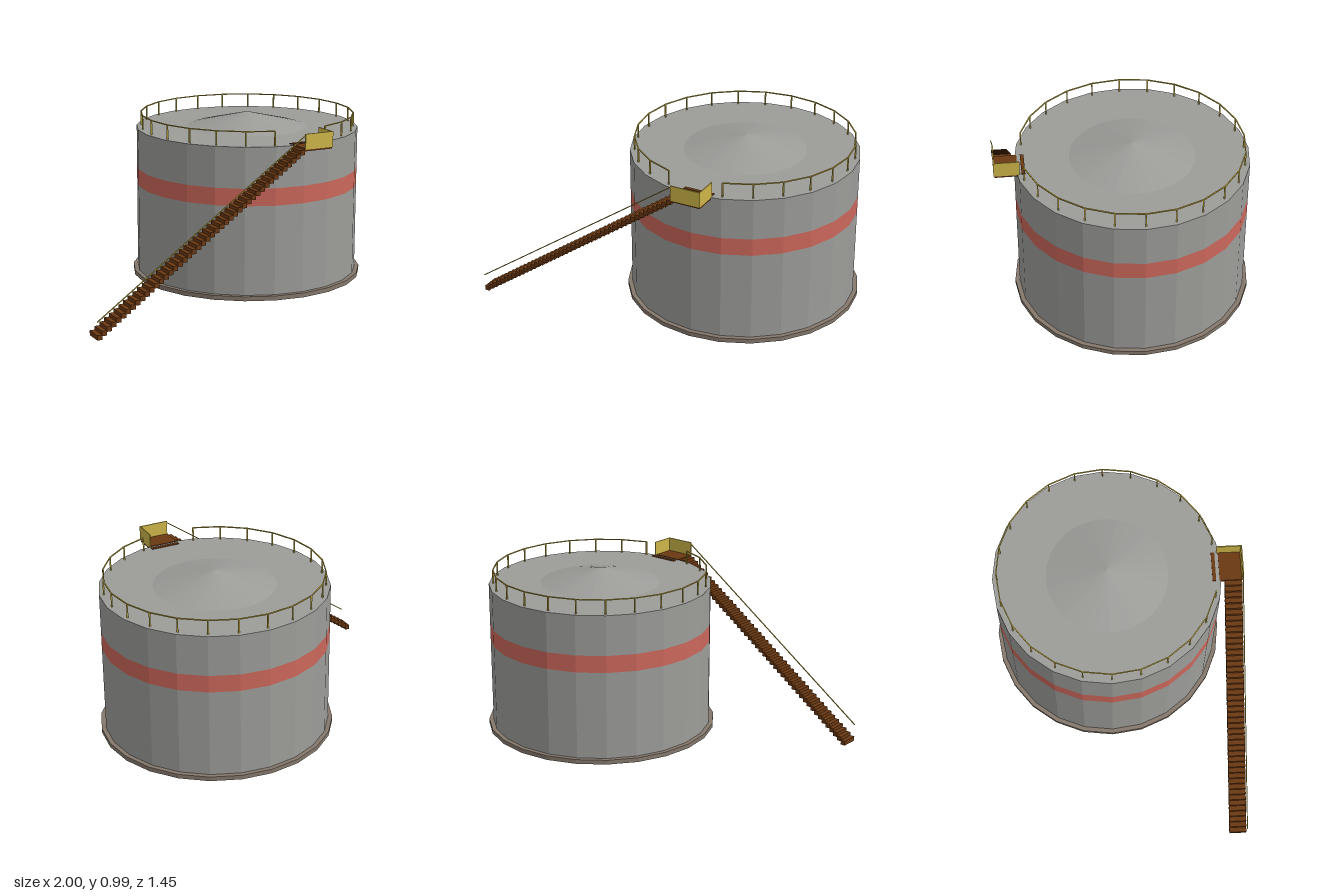
import * as THREE from 'three';

const CX = 0.32, CZ = -0.045, SIDES = 24, R = 0.654;

export function createModel() {
  const model = new THREE.Group();
  model.name = 'storageTank';

  const mat = (name, color, double = false) => {
    const m = new THREE.MeshStandardMaterial({ color, flatShading: true });
    m.name = name;
    if (double) m.side = THREE.DoubleSide;
    return m;
  };
  const grey = mat('tankGrey', 0x9c9c99, true);
  const red = mat('bandRed', 0xcb675b, true);
  const stone = mat('baseBrownGrey', 0x85786c, true);
  const yellow = mat('railYellow', 0xcdb548, true);
  const brown = mat('stairBrown', 0x6a3812);

  const add = (name, geo, material, x = 0, y = 0, z = 0, parent = model) => {
    const mesh = new THREE.Mesh(geo, material);
    mesh.name = name;
    mesh.position.set(x, y, z);
    parent.add(mesh);
    return mesh;
  };
  // Box given by its min and max corners
  const block = (name, a, b, material, parent = model) => add(name,
    new THREE.BoxGeometry(b[0] - a[0], b[1] - a[1], b[2] - a[2]), material,
    (a[0] + b[0]) / 2, (a[1] + b[1]) / 2, (a[2] + b[2]) / 2, parent);
  // Thin square bar between two points
  const bar = (name, p, q, t, material, parent = model) => {
    const a = new THREE.Vector3(...p), b = new THREE.Vector3(...q);
    const m = add(name, new THREE.BoxGeometry(t, t, a.distanceTo(b)), material, 0, 0, 0, parent);
    m.position.copy(a).add(b).multiplyScalar(0.5);
    m.lookAt(b);
    return m;
  };

  // Open-bottomed shell in three rings, the middle one painted
  const ring = (name, y0, y1, material) => add(name,
    new THREE.CylinderGeometry(R, R, y1 - y0, SIDES, 1, true), material, CX, (y0 + y1) / 2, CZ);
  ring('lowerShell', 0.03, 0.565, grey);
  ring('paintedBand', 0.565, 0.665, red);
  ring('upperShell', 0.665, 0.9, grey);

  // Flat roof with a shallow cone
  const roof = new THREE.CircleGeometry(R, SIDES);
  roof.rotateX(-Math.PI / 2);
  add('roof', roof, grey, CX, 0.9, CZ);
  add('roofCone', new THREE.ConeGeometry(0.35, 0.085, 32, 1, true), grey, CX, 0.9425, CZ);

  // Base flange
  const flange = [[0.64, 0.022], [0.68, 0.022], [0.68, 0.048], [0.64, 0.048], [0.64, 0.022]]
    .map(([x, y]) => new THREE.Vector2(x, y));
  add('baseFlange', new THREE.LatheGeometry(flange, SIDES), stone, CX, 0, CZ);

  // Roof railing, left open at the front for the platform
  const railing = new THREE.Group();
  railing.name = 'roofRailing';
  model.add(railing);
  const at = (i, y) => {
    const a = (i / SIDES) * Math.PI * 2;
    return [CX + Math.sin(a) * 0.627, y, CZ + Math.cos(a) * 0.627];
  };
  for (let i = 1; i < SIDES; i++) {
    const [x, , z] = at(i, 0);
    add('railingPost', new THREE.BoxGeometry(0.007, 0.083, 0.007), yellow, x, 0.9415, z, railing);
    if (i < SIDES - 1) bar('topRail', at(i, 0.982), at(i + 1, 0.982), 0.006, yellow, railing);
  }

  // Access platform with guard panels on the front and one end
  block('platformFloor', [0.255, 0.888, 0.592], [0.43, 0.904, 0.72], brown);
  block('platformStep', [0.255, 0.895, 0.552], [0.43, 0.905, 0.572], brown);
  block('frontGuard', [0.255, 0.898, 0.718], [0.432, 0.985, 0.725], yellow);
  block('endGuard', [0.426, 0.898, 0.582], [0.432, 0.985, 0.72], yellow);

  // Straight staircase
  const stairs = new THREE.Group();
  stairs.name = 'staircase';
  model.add(stairs);
  const steps = 45, run = 1.255 / steps, rise = 0.868 / (steps - 1);
  for (let i = 0; i < steps; i++) {
    const x = -1 + i * run, y = i * rise;
    block('step', [x, y, 0.62], [x + run, y + 0.027, 0.72], brown, stairs);
  }
  bar('stairHandrail', [-1, 0.1, 0.72], [0.255, 0.975, 0.72], 0.005, yellow, stairs);

  return model;
}
